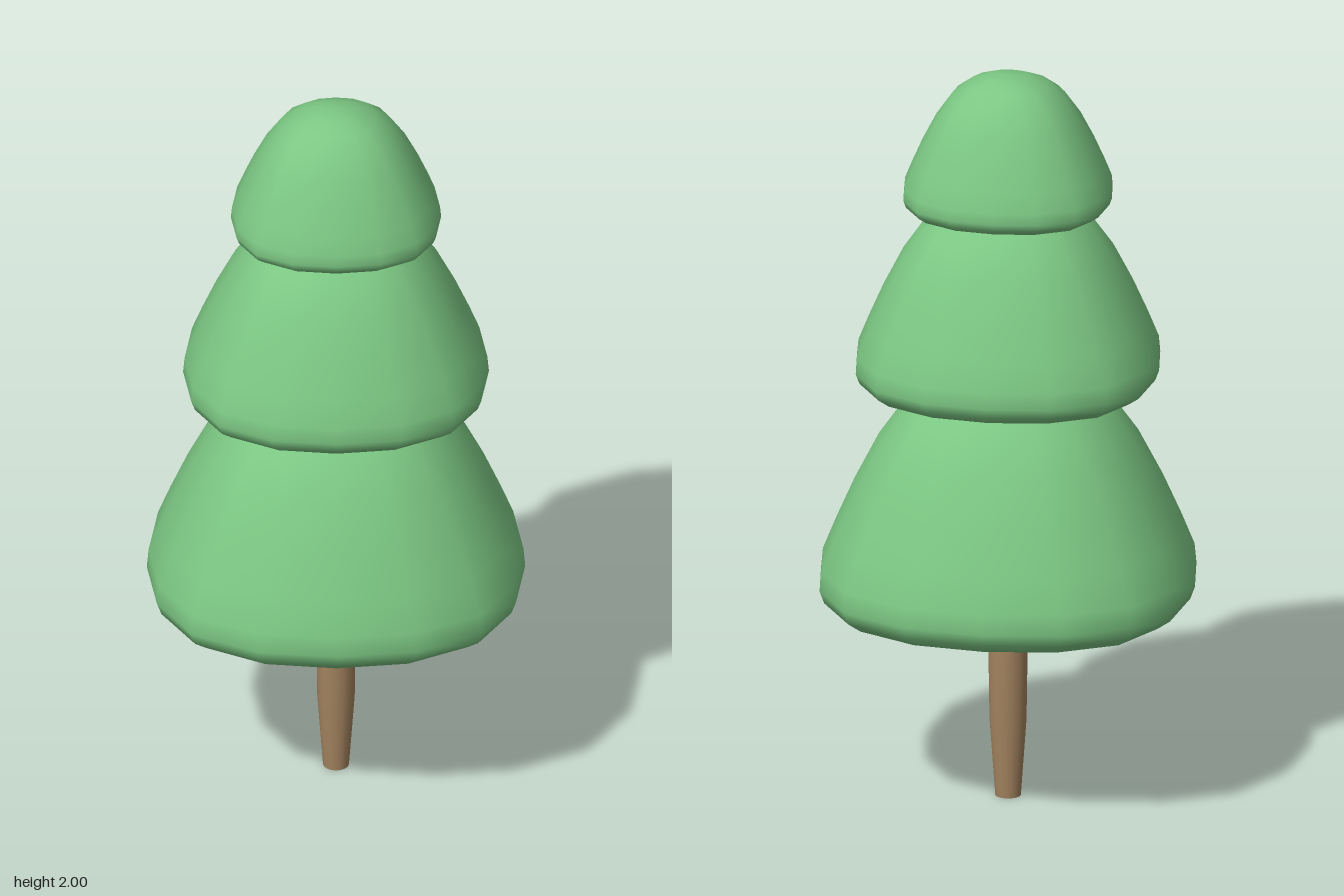
import * as THREE from 'three';
import { mergeVertices } from 'three/addons/utils/BufferGeometryUtils.js';

// Half outline of one tier, from the hollow underside round the rim to the tip
const TIER = [
  [0, 0.16], [0.25, 0.14], [0.45, 0.08], [0.6, 0.015], [0.75, 0], [0.9, 0.02], [0.975, 0.06],
  [1, 0.11], [0.99, 0.19], [0.92, 0.32], [0.82, 0.49], [0.69, 0.68], [0.54, 0.84],
  [0.38, 0.93], [0.2, 0.985], [0, 1],
].map(([r, y]) => new THREE.Vector2(r, y));

// Quarter of the slightly squared 16-sided plan, as (x, z)
const PLAN = [[0, 1], [0.42, 0.945], [0.767, 0.747], [0.948, 0.41], [1, 0]];

// Point of the full plan, mirrored from the quarter
function planPoint(i) {
  const k = i % 16;
  const half = k <= 8 ? k : 16 - k;
  const [x, z] = PLAN[half <= 4 ? half : 8 - half];
  return [k <= 8 ? x : -x, half <= 4 ? z : -z];
}

function weld(geometry) {
  geometry.deleteAttribute('normal');
  geometry.deleteAttribute('uv');
  const welded = mergeVertices(geometry, 1e-4);
  welded.computeVertexNormals();
  return welded;
}

// Rounded foliage tier, a little narrower in depth towards the rim
function tierGeometry(radius, bottom, top) {
  const geometry = new THREE.LatheGeometry(TIER, 16);
  const pos = geometry.attributes.position;
  for (let i = 0; i < pos.count; i++) {
    const [px, pz] = planPoint(Math.floor(i / TIER.length));
    const p = TIER[i % TIER.length];
    const depth = 1 - 0.07 * p.x;
    pos.setXYZ(i, px * p.x * radius, bottom + p.y * (top - bottom), pz * p.x * radius * depth);
  }
  return weld(geometry);
}

export function createModel() {
  const tree = new THREE.Group();
  tree.name = 'tree';
  const leaf = new THREE.MeshStandardMaterial({ color: 0x7cc783 });
  const bark = new THREE.MeshStandardMaterial({ color: 0xa3835f });

  // Foliage tiers
  const tiers = [
    ['lowerFoliage', 0.495, 0.53, 1.2],
    ['middleFoliage', 0.4, 1.14, 1.68],
    ['upperFoliage', 0.275, 1.63, 2],
  ];
  for (const [name, radius, bottom, top] of tiers) {
    const mesh = new THREE.Mesh(tierGeometry(radius, bottom, top), leaf);
    mesh.name = name;
    tree.add(mesh);
  }

  // Trunk, tapering to the foot, with a flat base
  const outline = [[0, 0], [0.034, 0], [0.034, 0], [0.049, 0.21], [0.052, 0.4], [0.052, 0.7]]
    .map(([r, y]) => new THREE.Vector2(r, y));
  const trunk = new THREE.Mesh(new THREE.LatheGeometry(outline.slice(2), 16), bark);
  trunk.name = 'trunk';
  const foot = new THREE.Mesh(new THREE.CircleGeometry(0.034, 16).rotateX(Math.PI / 2), bark);
  foot.name = 'trunkBase';
  tree.add(trunk, foot);

  return tree;
}
